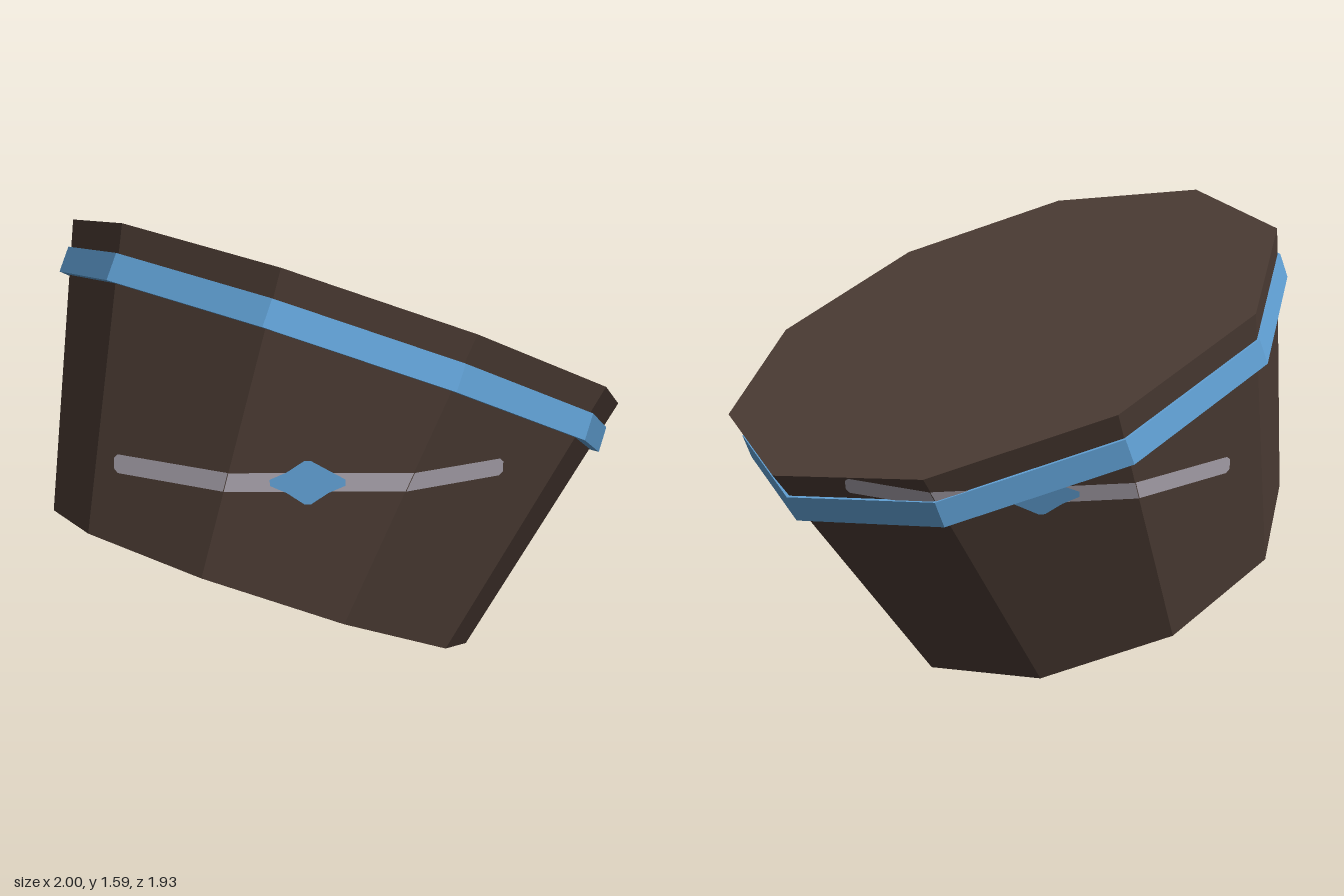
import * as THREE from 'three';

const SIDES = 10, HEIGHT = 0.985, R_BOTTOM = 0.767, R_TOP = 1.02;

// Flat-faced copy of a geometry
function flat(geometry) {
  const g = geometry.toNonIndexed();
  g.computeVertexNormals();
  return g;
}

// Keep the part of a 2D polygon inside a convex counter-clockwise polygon
function clip(poly, region) {
  let out = poly;
  region.forEach((a, i) => {
    const b = region[(i + 1) % region.length];
    const side = (p) => (b.x - a.x) * (p.y - a.y) - (b.y - a.y) * (p.x - a.x);
    const src = out;
    out = [];
    src.forEach((p, j) => {
      const q = src[(j + 1) % src.length], sp = side(p), sq = side(q);
      if (sp >= 0) out.push(p);
      if (sp * sq < 0) out.push(p.clone().lerp(q, sp / (sp - sq)));
    });
  });
  return out;
}

// Project a flat outline along z onto every wall facet, front or back
function paintOnWall(outline, corner, facing, lift) {
  const pos = [];
  for (let i = 0; i < SIDES; i++) {
    const quad = [corner(i, 0), corner(i + 1, 0), corner(i + 1, 1), corner(i, 1)];
    const plane = new THREE.Plane().setFromCoplanarPoints(quad[0], quad[1], quad[2]);
    const n = plane.normal;
    if (n.z * facing <= 0.05) continue;
    const region = quad.map((p) => new THREE.Vector2(p.x, p.y));
    if (THREE.ShapeUtils.isClockWise(region)) region.reverse();
    const pts = clip(outline, region).map((p) =>
      new THREE.Vector3(p.x, p.y, -(plane.constant + n.x * p.x + n.y * p.y) / n.z).addScaledVector(n, lift));
    if (facing < 0) pts.reverse();
    for (let k = 1; k < pts.length - 1; k++)
      for (const p of [pts[0], pts[k], pts[k + 1]]) pos.push(p.x, p.y, p.z);
  }
  const g = new THREE.BufferGeometry();
  g.setAttribute('position', new THREE.Float32BufferAttribute(pos, 3));
  g.computeVertexNormals();
  return g;
}

export function createModel() {
  const mat = (name, color) => {
    const m = new THREE.MeshStandardMaterial({ color });
    m.name = name;
    return m;
  };
  const brown = mat('dark brown', 0x4d3d35);
  const blue = mat('sky blue', 0x64a6dc);
  const grey = mat('pale grey', 0xb0aab4);

  const model = new THREE.Group();
  model.name = 'tiltedTub';
  const add = (parent, name, geometry, material) => {
    const m = new THREE.Mesh(geometry, material);
    m.name = name;
    parent.add(m);
  };

  // Tilted frame: y runs along the tub axis, z points at the first corner
  const yAxis = new THREE.Vector3(0.316, 0.923, -0.216).normalize();
  const zAxis = new THREE.Vector3(-0.946, 0.324, 0.01);
  zAxis.addScaledVector(yAxis, -zAxis.dot(yAxis)).normalize();
  const xAxis = new THREE.Vector3().crossVectors(yAxis, zAxis);
  const frame = new THREE.Matrix4().makeBasis(xAxis, yAxis, zAxis).setPosition(-0.275, 0.2975, 0.195);

  const tub = new THREE.Group();
  tub.name = 'tub';
  frame.decompose(tub.position, tub.quaternion, tub.scale);
  model.add(tub);

  // Ten-sided tapering body
  const body = new THREE.CylinderGeometry(R_TOP, R_BOTTOM, HEIGHT, SIDES).translate(0, HEIGHT / 2, 0);
  add(tub, 'body', flat(body), brown);

  // Straight band just under the rim
  const profile = [[0.96, 0.798], [1.008, 0.798], [1.006, 0.89], [0.97, 0.89]].map((p) => new THREE.Vector2(...p));
  add(tub, 'band', flat(new THREE.LatheGeometry(profile, SIDES)), blue);

  // World position of a wall corner, t = 0 at the base and 1 at the rim
  const corner = (i, t) => {
    const a = (i / SIDES) * Math.PI * 2, r = R_BOTTOM + (R_TOP - R_BOTTOM) * t;
    return new THREE.Vector3(r * Math.sin(a), HEIGHT * t, r * Math.cos(a)).applyMatrix4(frame);
  };

  // Level stripe with softened ends, and a diamond at its middle
  const cx = -0.107, cy = 0.835;
  const mirrored = (quarter) => {
    const q = quarter.map(([x, y]) => new THREE.Vector2(x, y));
    const flip = (list, sx, sy) => list.map((p) => new THREE.Vector2(cx + p.x * sx, cy + p.y * sy));
    const r = [...q].reverse();
    return [...flip(q, 1, 1), ...flip(r, -1, 1), ...flip(q, -1, -1), ...flip(r, 1, -1)];
  };
  const stripe = mirrored([[0.622, 0.018], [0.61, 0.03]]);
  const diamond = mirrored([[0.117, 0.01], [0.065, 0.033], [0.01, 0.07]]);
  for (const [side, facing] of [['front', 1], ['back', -1]]) {
    add(model, side + 'Stripe', paintOnWall(stripe, corner, facing, 0.004), grey);
    add(model, side + 'Diamond', paintOnWall(diamond, corner, facing, 0.008), blue);
  }
  return model;
}
